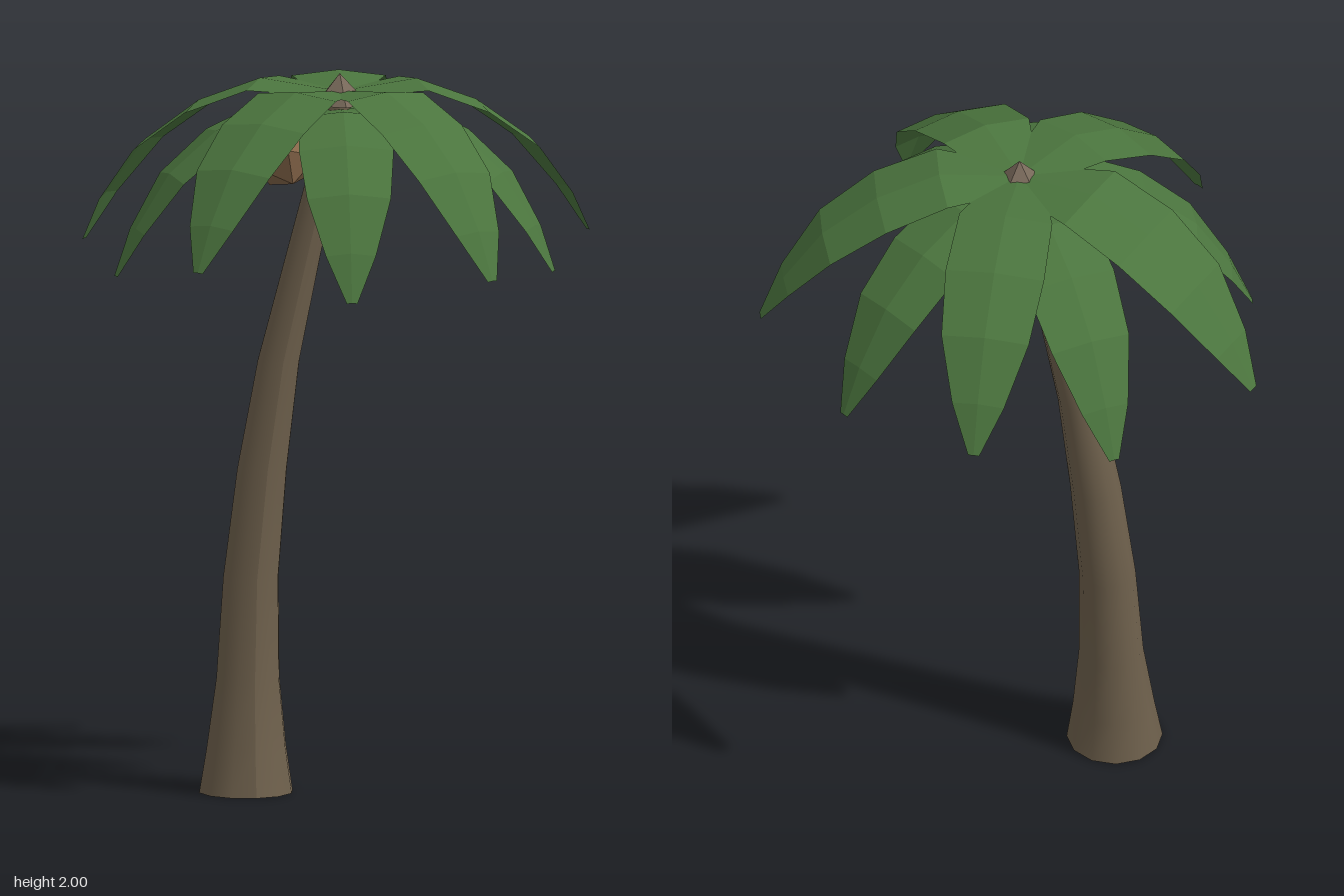
import * as THREE from 'three';

const mat = (color, flatShading = true, side = THREE.FrontSide) =>
  new THREE.MeshStandardMaterial({ color, flatShading, side });

// Leaning trunk: a cylinder whose rings follow [y, x, z, radius] sections
function makeTrunk(material) {
  const sections = [
    [0.005, -0.298, -0.003, 0.132], [0.13, -0.295, -0.01, 0.112], [0.32, -0.288, -0.022, 0.089],
    [0.60, -0.277, -0.033, 0.078], [0.90, -0.245, -0.035, 0.07], [1.20, -0.20, -0.028, 0.059],
    [1.50, -0.133, -0.01, 0.049], [1.75, -0.075, 0.005, 0.043], [1.93, -0.04, 0.015, 0.038],
  ];
  const n = sections.length - 1;
  const geo = new THREE.CylinderGeometry(1, 1, 1, 12, n);
  const p = geo.attributes.position;
  for (let i = 0; i < p.count; i++) {
    const [y, x, z, r] = sections[Math.round((p.getY(i) + 0.5) * n)];
    p.setXYZ(i, x + p.getX(i) * r, y, z + p.getZ(i) * r);
  }
  geo.computeVertexNormals();
  return new THREE.Mesh(geo, material);
}

// Arched leaf along +x with a slight midrib; rows are [reach, rise, drop share, halfWidth]
function makeFrondGeometry(length, tipDrop) {
  const rows = [
    [0, -0.01, 0, 0.06], [0.31, 0.015, 0, 0.134], [0.55, 0, 0.12, 0.142],
    [0.76, 0, 0.375, 0.126], [0.91, 0, 0.71, 0.075], [1, 0, 1, 0.016],
  ];
  const pos = [], index = [];
  rows.forEach(([t, rise, drop, w], i) => {
    for (const s of [-1, 0, 1]) {
      const edge = Math.abs(s) * w;
      pos.push(t * length - edge * 0.06, rise - drop * tipDrop - edge * 0.11, s * w * length / 0.72);
    }
    if (i === 0) return;
    for (let c = 0; c < 2; c++) {
      const a = (i - 1) * 3 + c, b = a + 3;
      index.push(a, a + 1, b, a + 1, b + 1, b);
    }
  });
  const geo = new THREE.BufferGeometry();
  geo.setAttribute('position', new THREE.Float32BufferAttribute(pos, 3));
  geo.setIndex(index);
  geo.computeVertexNormals();
  return geo;
}

export function createModel() {
  const model = new THREE.Group();
  const bark = mat(0x6e604c, false);
  const budBark = mat(0x78695a);
  const leaf = mat(0x4b753e, true, THREE.DoubleSide);
  const shell = mat(0x8a6a4c);
  const add = (mesh, name, x = 0, y = 0, z = 0) => {
    mesh.name = name;
    mesh.position.set(x, y, z);
    model.add(mesh);
    return mesh;
  };

  add(makeTrunk(bark), 'trunk');

  // Pointed bud at the top of the crown
  add(new THREE.Mesh(new THREE.ConeGeometry(0.08, 0.085, 5), budBark), 'crownBud', -0.037, 1.9575, 0.015);

  // Two rings of fronds, each given by its tip [x, y, z]
  const rings = {
    upperFrond: [1.96, [
      [0.68, 1.53, -0.05], [0.11, 1.51, -0.67], [-0.67, 1.50, -0.38], [-0.545, 1.535, 0.485], [0.25, 1.51, 0.65]]],
    lowerFrond: [1.91, [
      [0.46, 1.45, -0.40], [-0.28, 1.43, -0.60], [-0.68, 1.465, 0.06], [-0.15, 1.465, 0.665], [0.495, 1.48, 0.335]]],
  };
  for (const [name, [y, tips]] of Object.entries(rings)) {
    tips.forEach(([tx, ty, tz], i) => {
      const dx = tx + 0.037, dz = tz - 0.013;
      const geo = makeFrondGeometry(Math.hypot(dx, dz), y - ty);
      const frond = add(new THREE.Mesh(geo, leaf), name + (i + 1), -0.037, y, 0.013);
      frond.rotation.y = -Math.atan2(dz, dx);
    });
  }

  // Coconuts under the crown
  [[-0.2, 1.785, 0.04], [0.045, 1.79, -0.1]].forEach(([x, y, z], i) => {
    const nut = add(new THREE.Mesh(new THREE.IcosahedronGeometry(0.1, 0), shell), 'coconut' + (i + 1), x, y, z);
    nut.rotation.set(0.3, 0.8 * i, 0.2);
  });

  return model;
}
